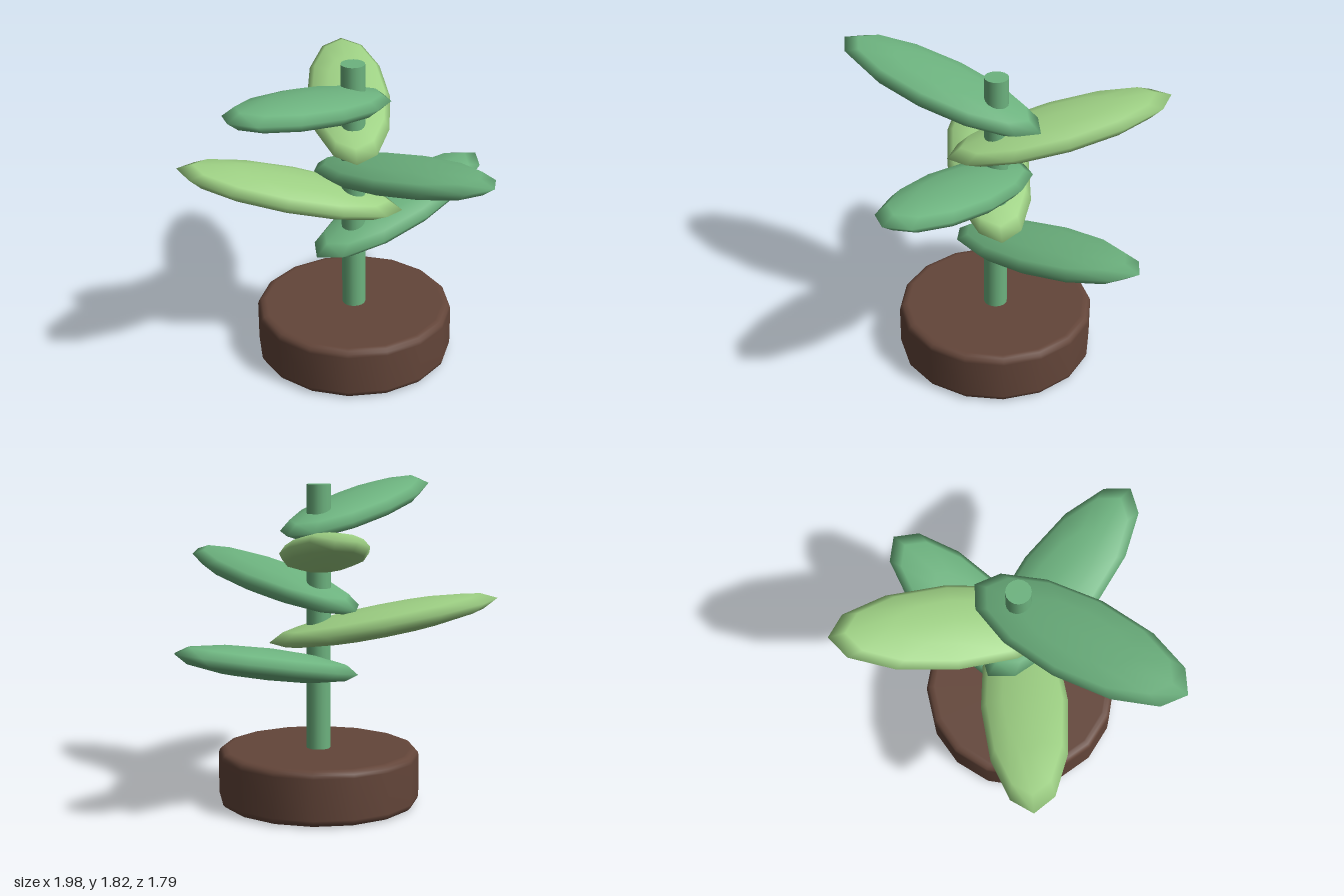
import * as THREE from 'three';

const mat = (name, color) => {
  const m = new THREE.MeshStandardMaterial({ color });
  m.name = name;
  return m;
};

export function createModel() {
  const green = mat('leaf green', 0x6db37f);
  const lightGreen = mat('light green', 0x9fd285);
  const brown = mat('pot brown', 0x634539);

  const plant = new THREE.Group();
  plant.name = 'pottedPlant';
  plant.position.set(-0.01, 0, -0.1);

  const add = (name, geometry, material, parent = plant) => {
    const mesh = new THREE.Mesh(geometry, material);
    mesh.name = name;
    parent.add(mesh);
    return mesh;
  };

  // Low round pot with softened rims
  const R = 0.57, H = 0.31, b = 0.04;
  const profile = [[0, 0], [R - b - 0.01, 0]];
  for (let i = 0; i <= 3; i++) {
    const a = (i / 3) * Math.PI / 2;
    profile.push([R - b + b * Math.sin(a), b - b * Math.cos(a)]);
  }
  for (let i = 0; i <= 3; i++) {
    const a = (i / 3) * Math.PI / 2;
    profile.push([R - b + b * Math.cos(a), H - b + b * Math.sin(a)]);
  }
  profile.push([R - b - 0.01, H], [0, H]);
  add('pot', new THREE.LatheGeometry(profile.map(([x, y]) => new THREE.Vector2(x, y)), 16), brown);

  // Straight stem
  const stem = add('stem', new THREE.CylinderGeometry(0.068, 0.068, 1.5, 16), green);
  stem.position.y = 1.05;

  // Flattened leaves spiralling up the stem by the golden angle
  const leafShape = new THREE.SphereGeometry(1, 12, 6);
  leafShape.scale(0.652, 0.088, 0.24);
  for (let i = 0; i < 5; i++) {
    const branch = new THREE.Group();
    branch.name = `leafBranch${i + 1}`;
    branch.position.y = 0.832 + i * 0.207;
    branch.rotation.y = THREE.MathUtils.degToRad(137.5 * i);
    const leaf = add('leaf', leafShape, i % 2 ? lightGreen : green, branch);
    leaf.position.x = 0.36;
    leaf.rotation.z = 0.2;
    plant.add(branch);
  }

  const model = new THREE.Group();
  model.name = 'model';
  model.add(plant);
  return model;
}
